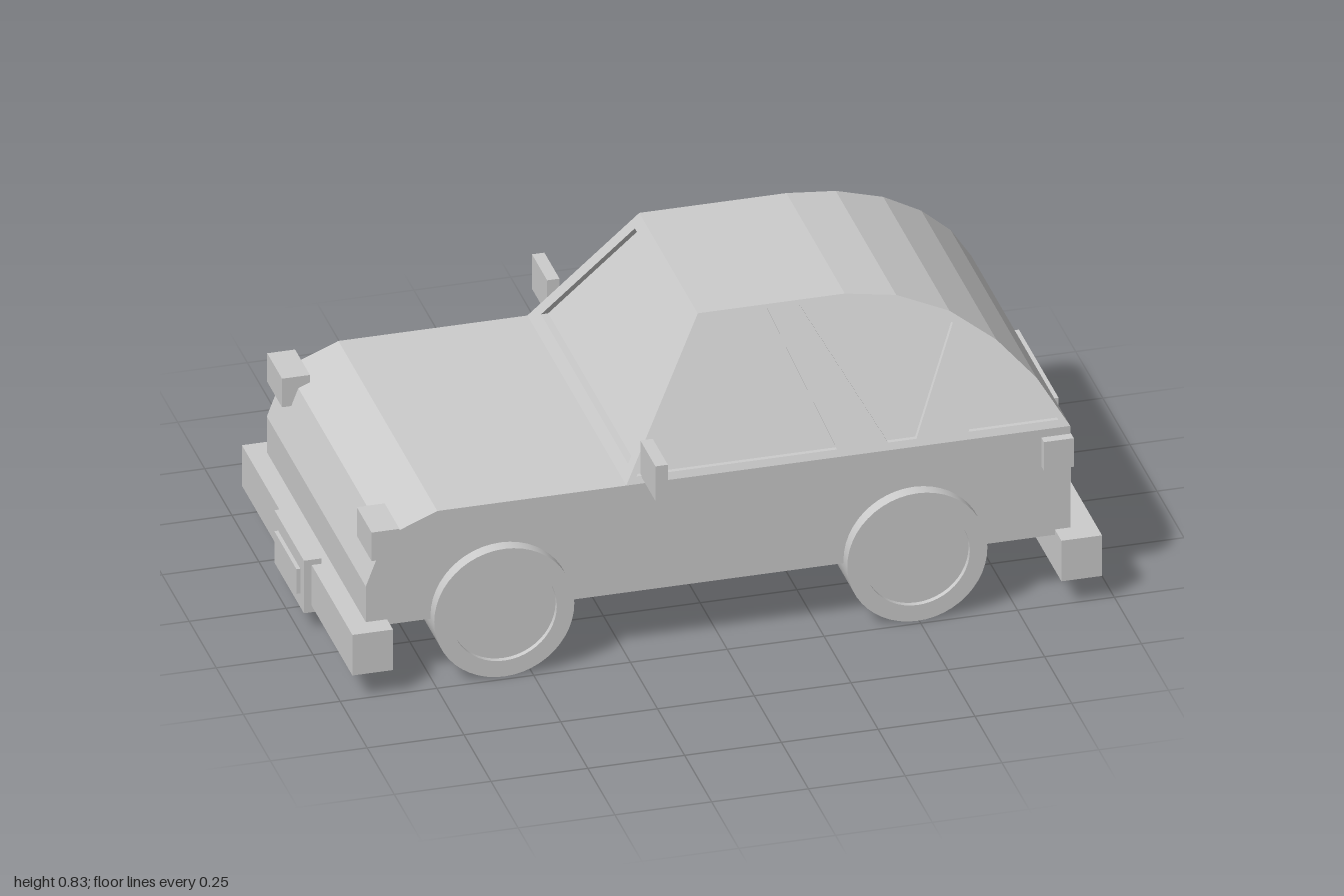
import * as THREE from 'three';

const ZC = -0.006; // centre line of the bodywork
const BELT = 0.475, ROOF = 0.83;
const halfWidth = (y) => 0.457 - ((y - BELT) / (ROOF - BELT)) * 0.187;
const screenX = (y) => -0.247 + ((y - BELT) / (ROOF - BELT)) * 0.237;
const GLASS = 0.012, SCREEN = 0.018; // depth of side and front glass

const shapeOf = (pts) => new THREE.Shape(pts.map(([x, y]) => new THREE.Vector2(x, y)));

// Extrudes a shape, then moves every vertex by a rule
function extrude(pts, depth, holes = [], rule = null) {
  const shape = shapeOf(pts);
  shape.holes = holes.map(shapeOf);
  const geo = new THREE.ExtrudeGeometry(shape, { depth, bevelEnabled: false });
  if (rule) {
    const p = geo.attributes.position;
    for (let i = 0; i < p.count; i++) p.setXYZ(i, ...rule(p.getX(i), p.getY(i), p.getZ(i)));
    geo.computeVertexNormals();
  }
  return geo;
}

export function createModel() {
  const car = new THREE.Group();
  car.name = 'car';
  const mat = new THREE.MeshStandardMaterial({ color: 0xcccccc });

  const add = (name, geo) => {
    const mesh = new THREE.Mesh(geo, mat);
    mesh.name = name;
    car.add(mesh);
    return mesh;
  };
  // Box given by its limits on each axis
  const box = (name, x0, x1, y0, y1, z0, z1) =>
    add(name, new THREE.BoxGeometry(x1 - x0, y1 - y0, z1 - z0))
      .position.set((x0 + x1) / 2, (y0 + y1) / 2, (z0 + z1) / 2);

  // Lower body with sloping nose
  const lower = [[-0.92, 0.172], [0.9, 0.172], [0.9, BELT], [-0.735, BELT], [-0.87, 0.42], [-0.92, 0.288]];
  add('lowerBody', extrude(lower, 0.914)).position.z = ZC - 0.457;

  // Cabin core: roof, rear slope and the recessed glass surfaces
  const rear = [[0.9, BELT], [0.83, 0.59], [0.74, 0.685], [0.63, 0.762], [0.5, 0.812], [0.37, ROOF]];
  const core = [[screenX(BELT) + SCREEN, BELT], ...rear, [screenX(ROOF) + SCREEN, ROOF]];
  add('cabin', extrude(core, 1, [], (x, y, z) => [x, y, ZC + (z - 0.5) * 2 * (halfWidth(y) - GLASS)]));

  // Side frames with three window openings each
  const outline = [[screenX(BELT), BELT], ...rear, [screenX(ROOF), ROOF]];
  const windows = [
    [[-0.218, 0.492], [0.3, 0.492], [0.168, 0.82], [-0.004, 0.82]],
    [[0.25, 0.82], [0.36, 0.82], [0.47, 0.803], [0.56, 0.774], [0.635, 0.735], [0.505, 0.492], [0.432, 0.492]],
    [[0.64, 0.492], [0.872, 0.492], [0.83, 0.56], [0.78, 0.62], [0.695, 0.695]],
  ];
  add('leftSideFrame', extrude(outline, GLASS, windows,
    (x, y, z) => [x, y, ZC + halfWidth(y) - GLASS + z]));
  add('rightSideFrame', extrude(outline, GLASS, windows,
    (x, y, z) => [x, y, ZC - halfWidth(y) + z]));

  // Windscreen frame, leaning back along the screen line
  const trapezoid = (y0, y1, inset) => [
    [-halfWidth(y0) + inset, y0], [halfWidth(y0) - inset, y0],
    [halfWidth(y1) - inset, y1], [-halfWidth(y1) + inset, y1]];
  add('windscreenFrame', extrude(trapezoid(BELT, ROOF, 0.002), SCREEN, [trapezoid(0.505, 0.802, 0.04)],
    (u, v, w) => [screenX(v) + SCREEN - w, v, ZC + u]));

  // Wheels: flat inside, shallow dished hub outside
  const profile = [[0, 0], [0.181, 0], [0.181, 0.168], [0.136, 0.168], [0.136, 0.154], [0, 0.154]];
  const wheelGeo = new THREE.LatheGeometry([], 1);
  wheelGeo.dispose();
  for (const [axle, x] of [['front', -0.572], ['rear', 0.495]]) {
    for (const side of [1, -1]) {
      const wheel = new THREE.Group();
      wheel.name = `${axle}${side > 0 ? 'Left' : 'Right'}Wheel`;
      // Each profile segment is its own band so edges stay sharp
      for (let i = 0; i < profile.length - 1; i++) {
        const pts = [profile[i], profile[i + 1]].map(([r, h]) => new THREE.Vector2(r, h));
        const band = new THREE.Mesh(new THREE.LatheGeometry(pts, 48), mat);
        band.name = ['innerFace', 'tread', 'tyreWall', 'hubEdge', 'hub'][i];
        wheel.add(band);
      }
      wheel.rotation.x = side * Math.PI / 2;
      wheel.position.set(x, 0.181, -0.015 + side * 0.333);
      car.add(wheel);
    }
  }

  // Lamps and door mirrors on both sides
  for (const side of [1, -1]) {
    const label = side > 0 ? 'left' : 'right';
    const pair = (name, x0, x1, y0, y1, zIn, zOut, c) =>
      box(label + name, x0, x1, y0, y1, c + Math.min(side * zIn, side * zOut), c + Math.max(side * zIn, side * zOut));
    pair('Headlamp', -0.912, -0.84, 0.372, 0.453, 0.345, 0.482, ZC);
    pair('TailLamp', 0.825, 0.902, 0.372, 0.453, 0.4, 0.482, ZC);
    pair('Mirror', -0.205, -0.173, 0.488, 0.586, 0.43, 0.57, 0);
  }

  // Bumpers and number plate blocks
  box('frontBumper', -0.97, -0.865, 0.072, 0.187, -0.514, 0.506);
  box('frontPlateHolder', -0.99, -0.945, 0.053, 0.202, -0.142, 0.13);
  box('frontPlate', -1, -0.985, 0.092, 0.162, -0.108, 0.097);
  box('rearBumper', 0.86, 0.965, 0.072, 0.187, -0.52, 0.512);
  box('rearPlateHolder', 0.942, 0.985, 0.053, 0.202, -0.142, 0.132);
  box('rearPlate', 0.98, 1, 0.092, 0.162, -0.108, 0.098);
  box('tailPanel', 0.89, 0.946, 0.288, 0.404, -0.188, 0.178);

  return car;
}
